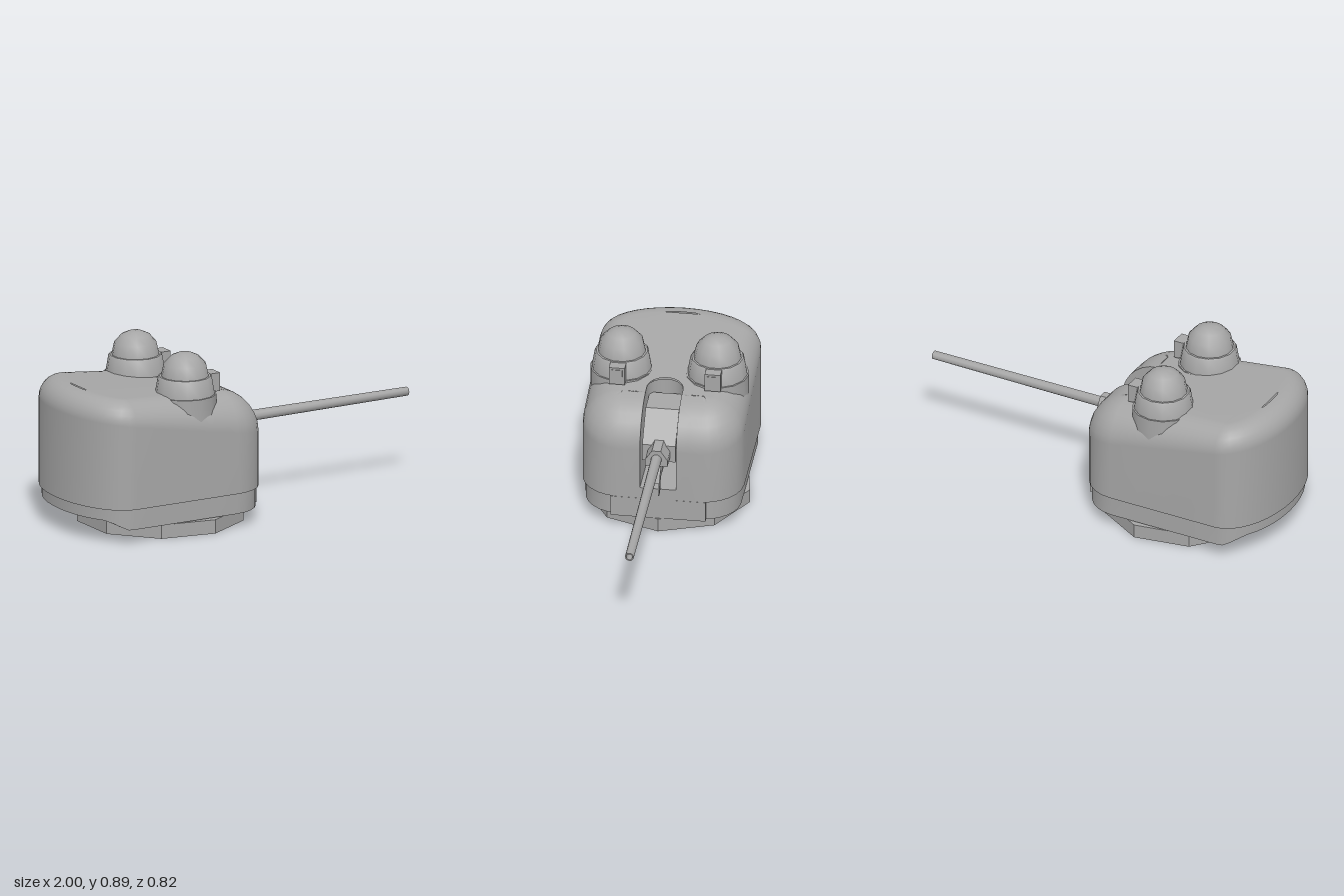
import * as THREE from 'three';
import { toCreasedNormals } from 'three/addons/utils/BufferGeometryUtils.js';

const SLOT = 0.09;        // half width of the gun slot
const SLOT_FLOOR = 0.24;
const roofY = x => 0.652 - 0.085 * x;
const edgeRadius = x => Math.max(0.115, 0.2 + 0.1 * x);

// Half of the plan outline, from the slot edge round to the rear: [x, z, normalX, normalZ]
function halfOutline() {
  const pts = [[0, SLOT, 1, 0], [0, 0.15, 1, 0]];
  for (let i = 0; i <= 6; i++) {
    const a = i / 6 * Math.PI / 2, c = Math.cos(a), s = Math.sin(a);
    pts.push([-0.2 + 0.2 * c, 0.2 + 0.2 * s, c, s]);
  }
  for (const x of [-0.35, -0.5, -0.65]) pts.push([x, 0.4, 0, 1]);
  for (let i = 0; i <= 9; i++) {
    const a = Math.PI / 2 * (1 - i / 9), c = Math.cos(a), s = Math.sin(a);
    const n = new THREE.Vector2(-c / 0.22, s / 0.4).normalize();
    pts.push([-0.78 - 0.22 * c, 0.4 * s, n.x, n.y]);
  }
  return pts;
}

function fullOutline() {
  const half = halfOutline();
  const other = half.slice(0, -1).reverse().map(([x, z, nx, nz]) => [x, -z, nx, -nz]);
  return [...half, ...other];
}

// Joins columns of points (each running upward or outward) into a surface
function loft(columns) {
  const rows = columns[0].length, index = [];
  for (let i = 0; i < columns.length - 1; i++) {
    for (let j = 0; j < rows - 1; j++) {
      const a = i * rows + j, b = a + 1, c = a + rows, d = c + 1;
      index.push(a, b, c, b, d, c);
    }
  }
  const g = new THREE.BufferGeometry();
  g.setAttribute('position', new THREE.Float32BufferAttribute(columns.flat(2), 3));
  g.setIndex(index);
  g.computeVertexNormals();
  return g;
}

// Wall, rounded shoulder and roof for one outline point
function shellColumn([x, z, nx, nz]) {
  const r = edgeRadius(x), column = [[x, 0.18, z]];
  for (let k = 0; k <= 7; k++) {
    const a = k / 7 * Math.PI / 2, inset = r * (1 - Math.cos(a));
    const px = x - nx * inset;
    column.push([px, roofY(px) - r * (1 - Math.sin(a)), z - nz * inset]);
  }
  const last = column[column.length - 1];
  column.push([last[0], last[1], Math.sign(z) * Math.min(SLOT, Math.abs(last[2]))]);
  return column;
}

// Recessed band under the shell, raised at the rear
function skirtColumn([x, z, nx, nz]) {
  const px = x - nx * 0.015, pz = z - nz * 0.015;
  const y = THREE.MathUtils.mapLinear(THREE.MathUtils.clamp(px, -0.9, -0.82), -0.9, -0.82, 0.12, 0.075);
  return [[px, y, 0], [px, y, pz], [px, 0.18, pz], [x, 0.18, z]];
}

// Extrudes a side profile of [x, y] points, centred on z = 0
function sideProfile(points, width) {
  const shape = new THREE.Shape(points.map(p => new THREE.Vector2(...p)));
  return new THREE.ExtrudeGeometry(shape, { depth: width, bevelEnabled: false }).translate(0, 0, -width / 2);
}

export function createModel() {
  const root = new THREE.Group();
  const grey = new THREE.MeshStandardMaterial({ color: 0xa6a6a6, side: THREE.DoubleSide });
  grey.name = 'gunmetal grey';

  const add = (name, geometry, x = 0, y = 0, z = 0, parent = root) => {
    const mesh = new THREE.Mesh(geometry, grey);
    mesh.name = name;
    mesh.position.set(x, y, z);
    parent.add(mesh);
    return mesh;
  };
  const box = (name, x0, x1, y0, y1, z0, z1, parent) => add(name,
    new THREE.BoxGeometry(x1 - x0, y1 - y0, z1 - z0),
    (x0 + x1) / 2, (y0 + y1) / 2, (z0 + z1) / 2, parent);

  // Nine-sided base
  const base = new THREE.CylinderGeometry(0.415, 0.415, 0.07, 9).rotateY(Math.PI / 2);
  add('base', toCreasedNormals(base, 0.3), -0.41, 0.035, 0);

  // Turret shell and skirt
  const outline = fullOutline();
  add('shell', loft(outline.map(shellColumn)));
  add('skirt', toCreasedNormals(loft(outline.map(skirtColumn)), 0.6));
  box('frontLowerPlate', -0.03, 0.001, 0.073, 0.18, -0.235, 0.235);
  box('frontSill', -0.03, 0.001, 0.175, SLOT_FLOOR, -SLOT, SLOT);

  // Roof strip behind the slot, with a rounded notch
  const strip = new THREE.Shape();
  strip.moveTo(-0.875, -SLOT);
  strip.lineTo(-0.24, -SLOT);
  strip.absarc(-0.24, 0, SLOT, -Math.PI / 2, -Math.PI * 1.5, true);
  strip.lineTo(-0.875, SLOT);
  const roof = new THREE.ShapeGeometry(strip, 12).rotateX(-Math.PI / 2);
  const pos = roof.attributes.position;
  for (let i = 0; i < pos.count; i++) pos.setY(i, roofY(pos.getX(i)));
  roof.computeVertexNormals();
  add('roofStrip', roof);

  // Slot lining
  const edge = shellColumn([0, SLOT, 1, 0]).slice(1, -1).map(p => new THREE.Vector2(p[0], p[1]));
  const wall = new THREE.Shape([new THREE.Vector2(-0.24, SLOT_FLOOR), new THREE.Vector2(0, SLOT_FLOOR),
    ...edge, new THREE.Vector2(-0.24, roofY(-0.24))]);
  for (const s of [-1, 1]) add('slotWall', new THREE.ShapeGeometry(wall), 0, 0, s * SLOT);
  const h = roofY(-0.24) - SLOT_FLOOR;
  add('slotBack', new THREE.CylinderGeometry(SLOT, SLOT, h, 12, 1, true, Math.PI, Math.PI),
    -0.24, SLOT_FLOOR + h / 2, 0);
  box('slotFloor', -0.33, 0, SLOT_FLOOR - 0.01, SLOT_FLOOR, -SLOT, SLOT);

  // Gun: cradle, sleeve and hollow barrel
  add('cradle', sideProfile([[-0.3, 0.38], [-0.03, 0.38], [-0.03, 0.47], [-0.1, 0.555],
    [-0.15, 0.61], [-0.3, 0.61]], 0.165));
  const collar = new THREE.Shape([[-0.055, 0.405], [0.055, 0.405], [0.055, 0.44], [0.022, 0.49],
    [-0.022, 0.49], [-0.055, 0.44]].map(p => new THREE.Vector2(...p)));
  add('sleeve', new THREE.ExtrudeGeometry(collar, { depth: 0.18, bevelEnabled: false })
    .rotateY(Math.PI / 2), -0.12, 0, 0);
  const barrel = new THREE.LatheGeometry([[0.027, 0], [0.022, 0.96], [0.016, 0.96], [0.016, 0.8], [0, 0.8]]
    .map(p => new THREE.Vector2(...p)), 10).rotateZ(-Math.PI / 2);
  add('barrel', toCreasedNormals(barrel, 0.7), 0.04, 0.443, 0);

  // Curved fork under the gun
  box('forkMount', -0.05, 0.05, 0.375, 0.408, -0.03, 0.03);
  add('forkArm', sideProfile([[-0.03, 0.345], [0.045, 0.345], [0.07, 0.325], [0.107, 0.335],
    [0.09, 0.372], [0.055, 0.395], [-0.03, 0.395]], 0.045));
  for (const s of [-1, 1]) {
    add('forkProng', sideProfile([[0.07, 0.325], [0.09, 0.282], [0.123, 0.275], [0.12, 0.305],
      [0.107, 0.335]], 0.007), 0, 0, s * 0.02);
  }

  // Two sighting domes
  for (const s of [-1, 1]) {
    const dome = new THREE.Group();
    dome.name = s > 0 ? 'leftSightingDome' : 'rightSightingDome';
    dome.position.set(-0.41, 0, s * 0.237);
    root.add(dome);
    const profile = [[0.156, 0.48], [0.156, 0.685], [0.148, 0.685], [0.134, 0.768], [0.128, 0.775],
      [0.118, 0.775], [0.105, 0.835], [0.07, 0.873], [0.035, 0.889], [0, 0.893]];
    add('domeAndCollar', toCreasedNormals(new THREE.LatheGeometry(
      profile.map(p => new THREE.Vector2(...p)), 14), 0.7), 0, 0, 0, dome);
    box('sightHousing', 0.12, 0.178, 0.68, 0.773, -0.039, 0.039, dome);
    box('sightWindow', 0.176, 0.181, 0.725, 0.762, -0.027, 0.027, dome);
  }
  return root;
}
